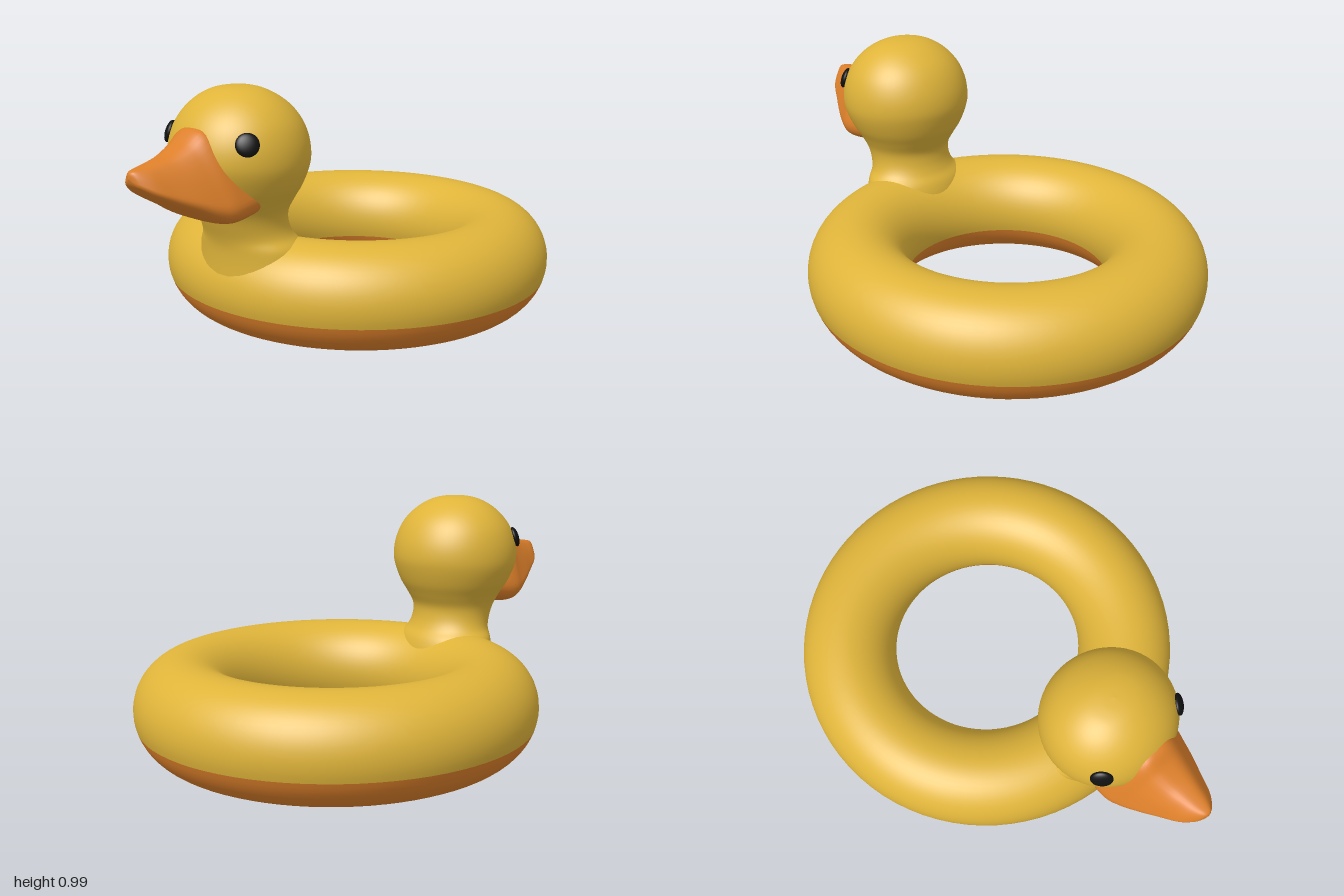
import * as THREE from 'three';

const yellow = new THREE.MeshStandardMaterial({ color: 0xdfb43a });
const orange = new THREE.MeshStandardMaterial({ color: 0xdc7f2a });
const black = new THREE.MeshStandardMaterial({ color: 0x111111 });

function part(name, geometry, material) {
  const mesh = new THREE.Mesh(geometry, material);
  mesh.name = name;
  return mesh;
}

// Arc of the ring's tube section, swept around the vertical axis
function ringBand(from, to, steps) {
  const points = [];
  for (let i = 0; i <= steps; i++) {
    const a = from + ((to - from) * i) / steps;
    points.push(new THREE.Vector2(0.6 + 0.2 * Math.cos(a), 0.205 + 0.205 * Math.sin(a)));
  }
  return new THREE.LatheGeometry(points, 80);
}

// Smooth loft. Row: [half width, y and z of one edge, y and z of the opposite edge].
// Outline: closed list of [u, v], u across the width, v from opposite edge (0) to edge (1).
function loft(rows, outline, steps) {
  const near = new THREE.CatmullRomCurve3(rows.map(r => new THREE.Vector3(r[0], r[1], r[2])), false, 'catmullrom');
  const far = new THREE.CatmullRomCurve3(rows.map(r => new THREE.Vector3(0, r[3], r[4])), false, 'catmullrom');
  const n = outline.length, positions = [], index = [];
  for (let i = 0; i <= steps; i++) {
    const a = near.getPoint(i / steps), b = far.getPoint(i / steps);
    for (const [u, v] of outline) {
      positions.push(u * a.x, b.y + (a.y - b.y) * v, b.z + (a.z - b.z) * v);
    }
  }
  for (let i = 0; i < steps; i++) {
    for (let j = 0; j < n; j++) {
      const k = (j + 1) % n, p = i * n, q = p + n;
      index.push(p + j, q + j, p + k, q + j, q + k, p + k);
    }
  }
  const geometry = new THREE.BufferGeometry();
  geometry.setAttribute('position', new THREE.Float32BufferAttribute(positions, 3));
  geometry.setIndex(index);
  geometry.computeVertexNormals();
  return geometry;
}

export function createModel() {
  const group = new THREE.Group();

  // Swim ring: yellow above, orange underside
  const split = 0.3226;
  const ring = new THREE.Group();
  ring.name = 'swimRing';
  ring.position.z = -0.2;
  ring.add(part('ringUpper', ringBand(-split, Math.PI + split, 36), yellow));
  ring.add(part('ringUnderside', ringBand(Math.PI + split, 2 * Math.PI - split, 26), orange));
  group.add(ring);

  // Head and neck: [height, half width, front z, back z]
  const headRows = [
    [0.25, 0.25, 0.585, 0.24], [0.33, 0.235, 0.586, 0.25], [0.385, 0.22, 0.59, 0.268],
    [0.425, 0.188, 0.6, 0.295], [0.47, 0.177, 0.618, 0.311], [0.52, 0.183, 0.64, 0.312],
    [0.57, 0.207, 0.672, 0.285], [0.62, 0.237, 0.703, 0.256], [0.68, 0.262, 0.732, 0.234],
    [0.73, 0.27, 0.744, 0.225], [0.79, 0.264, 0.738, 0.232], [0.85, 0.243, 0.715, 0.255],
    [0.9, 0.208, 0.68, 0.29], [0.94, 0.163, 0.635, 0.338], [0.968, 0.11, 0.585, 0.39],
    [0.981, 0.055, 0.54, 0.435], [0.985, 0.0005, 0.488, 0.487],
  ].map(([y, w, front, back]) => [w, y, front, y, back]);
  const circle = [];
  for (let j = 0; j < 56; j++) {
    const a = (j / 56) * Math.PI * 2;
    circle.push([Math.cos(a), (1 + Math.sin(a)) / 2]);
  }
  group.add(part('headAndNeck', loft(headRows, circle, 80), yellow));

  // Beak: arched top, wide lower corners, nearly flat bottom
  const half = [[0.36, 0.95], [0.67, 0.7], [0.92, 0.37], [1, 0.19], [0.87, 0.065], [0.51, 0.012]];
  const corners = [[0, 1], ...half, [0, 0], ...half.slice().reverse().map(([u, v]) => [-u, v])];
  const outline = new THREE.CatmullRomCurve3(corners.map(([u, v]) => new THREE.Vector3(u, v, 0)), true, 'catmullrom')
    .getPoints(56).slice(0, -1).map(p => [p.x, p.y]);
  const beakRows = [
    [0.19, 0.853, 0.66, 0.53, 0.54], [0.195, 0.853, 0.72, 0.513, 0.66],
    [0.178, 0.81, 0.775, 0.53, 0.725], [0.147, 0.777, 0.84, 0.574, 0.8],
    [0.113, 0.762, 0.9, 0.612, 0.87], [0.082, 0.753, 0.95, 0.65, 0.935],
    [0.047, 0.747, 0.985, 0.682, 0.976], [0.022, 0.738, 0.997, 0.7, 0.992],
    [0.0005, 0.721, 1, 0.72, 1],
  ];
  group.add(part('beak', loft(beakRows, outline, 48), orange));

  // Eyes: flattened spheres facing outwards
  for (const side of [1, -1]) {
    const eye = part(side > 0 ? 'leftEye' : 'rightEye', new THREE.SphereGeometry(0.043, 28, 18), black);
    eye.position.set(side * 0.203, 0.81, 0.642);
    eye.lookAt(side * 0.4, 0.9, 0.82);
    eye.scale.z = 0.4;
    group.add(eye);
  }
  return group;
}
